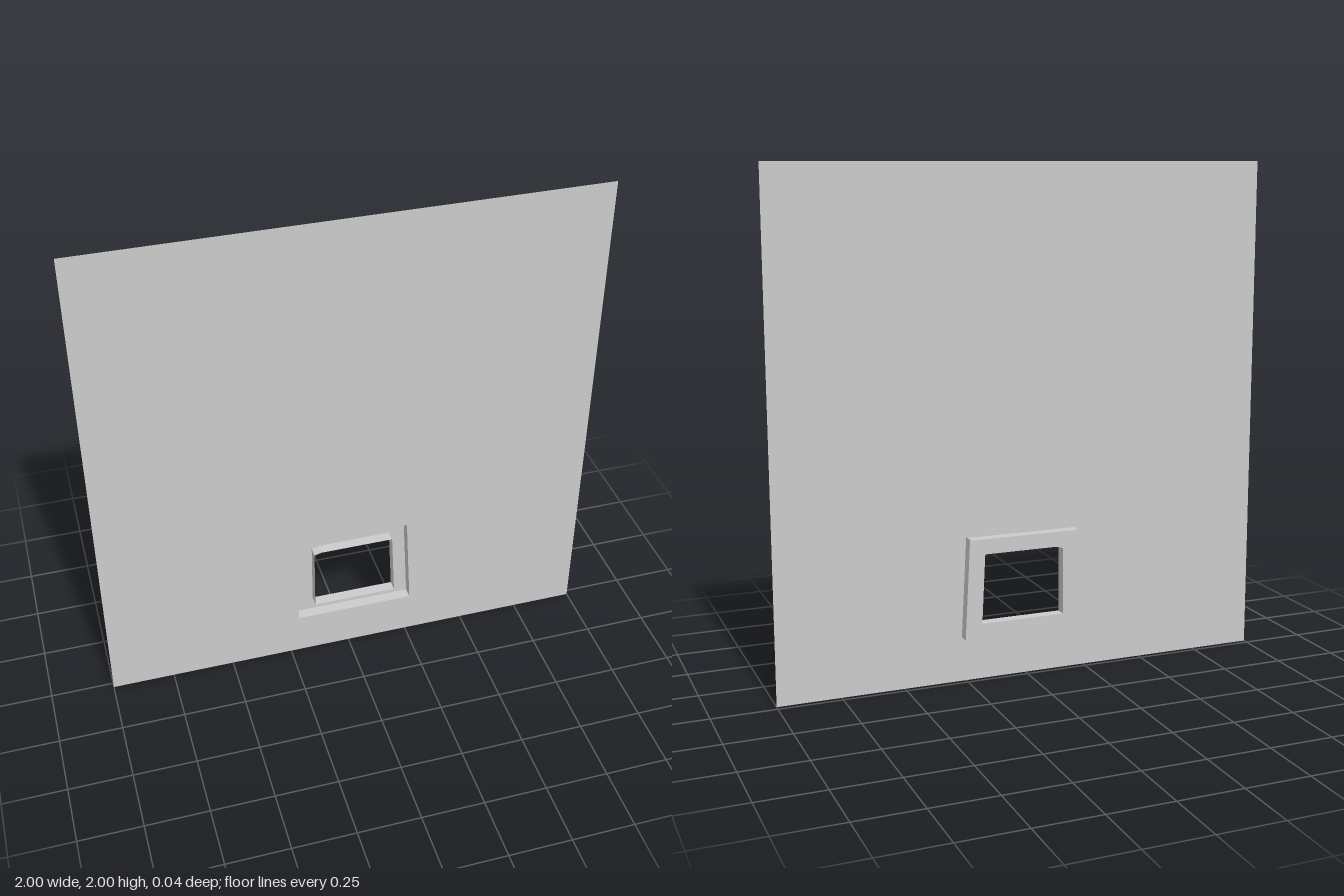
import * as THREE from 'three';

const FRONT = 0.022, BACK = -0.022;

// Outlines of the recess and of the window opening, counter-clockwise
const recess = [[-0.212, 0.178], [0.267, 0.178], [0.246, 0.577], [0.235, 0.573], [-0.206, 0.573], [-0.212, 0.567]];
const opening = [[-0.142, 0.237], [0.198, 0.237], [0.185, 0.505], [0.183, 0.513], [-0.112, 0.513], [-0.142, 0.505]];
const sheet = [[-1, 0], [1, 0], [1, 2], [-1, 2]];

const toPoints = (list) => list.map(([x, y]) => new THREE.Vector2(x, y));

// Flat panel with a hole, at depth z
function panel(outline, hole, z) {
  const shape = new THREE.Shape(toPoints(outline));
  shape.holes.push(new THREE.Path(toPoints(hole).reverse()));
  return new THREE.ShapeGeometry(shape).translate(0, 0, z);
}

// Thin walls that follow an outline from back to front
function walls(outline) {
  const positions = [];
  outline.forEach(([ax, ay], i) => {
    const [bx, by] = outline[(i + 1) % outline.length];
    positions.push(ax, ay, BACK, bx, by, BACK, bx, by, FRONT);
    positions.push(ax, ay, BACK, bx, by, FRONT, ax, ay, FRONT);
  });
  const geometry = new THREE.BufferGeometry();
  geometry.setAttribute('position', new THREE.Float32BufferAttribute(positions, 3));
  geometry.computeVertexNormals();
  return geometry;
}

export function createModel() {
  const group = new THREE.Group();
  group.name = 'wallWithWindow';
  const material = new THREE.MeshStandardMaterial({ color: 0xcccccc, side: THREE.DoubleSide });
  const add = (name, geometry) => {
    const mesh = new THREE.Mesh(geometry, material);
    mesh.name = name;
    group.add(mesh);
  };

  add('wallSheet', panel(sheet, recess, FRONT));
  add('recessWalls', walls(recess));
  add('recessFloor', panel(recess, opening, BACK));
  // Rim that rises from the recess floor around the opening
  add('openingRim', walls(opening));
  return group;
}
